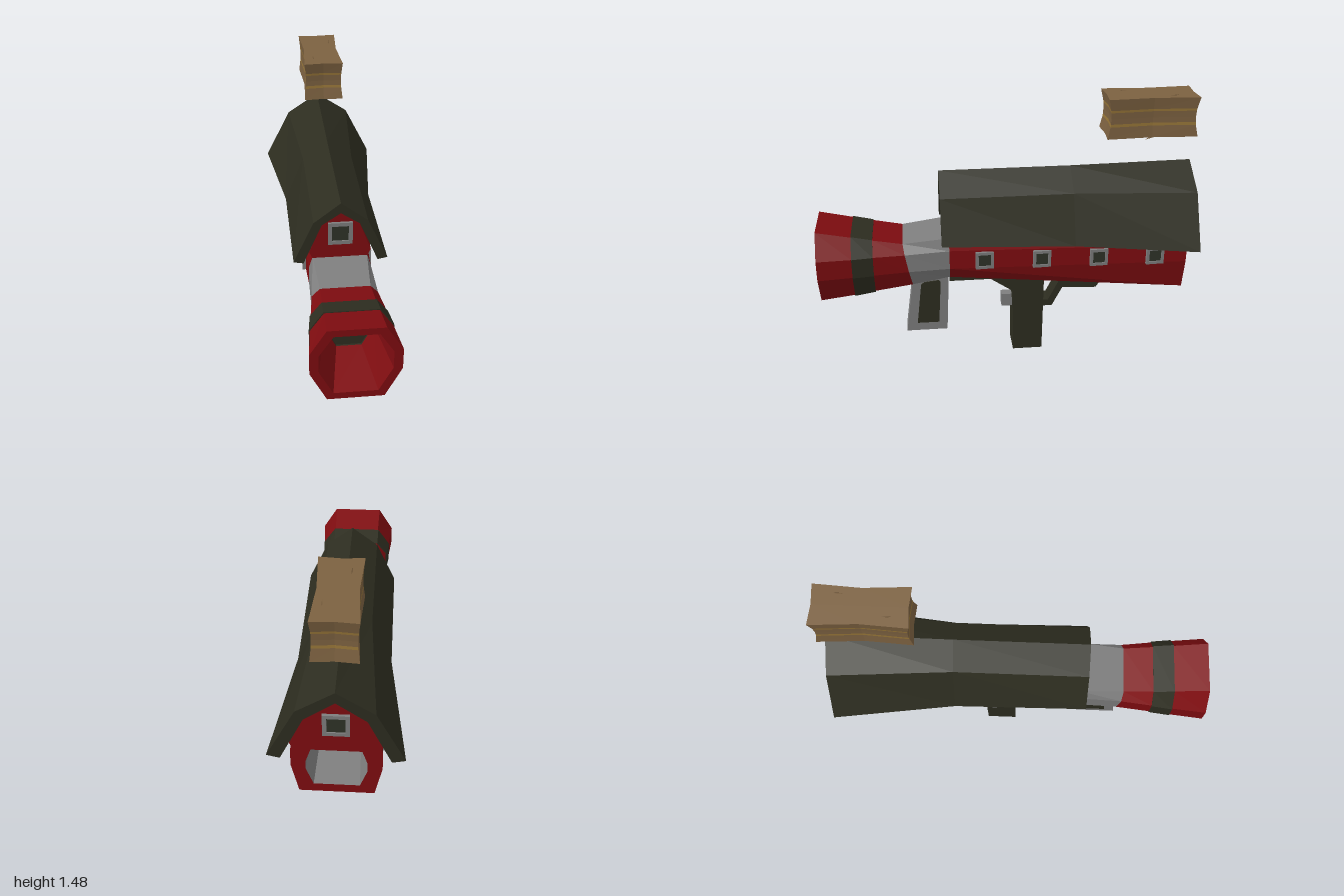
import * as THREE from 'three';

const mat = (name, color, side = THREE.FrontSide) => {
  const m = new THREE.MeshStandardMaterial({ color, side });
  m.name = name;
  return m;
};

// Mirrors a right-hand outline (bottom to top) into a closed counter-clockwise ring.
// z may be a number or a function of y, for slanted joints.
function ring(half, z) {
  const left = half.filter(p => p[0] !== 0).reverse().map(([x, y]) => [-x, y]);
  return [...half, ...left].map(([x, y]) => [x, y, typeof z === 'function' ? z(y) : z]);
}

// Skins a list of rings running from front to back, with optional end caps.
function loft(rings, capStart = false, capEnd = false) {
  const pos = [];
  const n = rings[0].length;
  for (let s = 0; s < rings.length - 1; s++) {
    const a = rings[s], b = rings[s + 1];
    for (let i = 0; i < n; i++) {
      const j = (i + 1) % n;
      pos.push(...a[i], ...b[i], ...a[j], ...a[j], ...b[i], ...b[j]);
    }
  }
  const cap = (r, flip) => {
    const tris = THREE.ShapeUtils.triangulateShape(r.map(p => new THREE.Vector2(p[0], p[1])), []);
    for (const [a, b, c] of tris) pos.push(...r[a], ...r[flip ? c : b], ...r[flip ? b : c]);
  };
  if (capStart) cap(rings[0], false);
  if (capEnd) cap(rings[rings.length - 1], true);
  const g = new THREE.BufferGeometry();
  g.setAttribute('position', new THREE.Float32BufferAttribute(pos, 3));
  g.computeVertexNormals();
  return g;
}

// Extrudes a side outline given as [z, y] points, centred at x.
function sideProfile(points, width, x = 0) {
  const shape = new THREE.Shape(points.map(p => new THREE.Vector2(...p)));
  const g = new THREE.ExtrudeGeometry(shape, { depth: width, bevelEnabled: false });
  return g.translate(0, 0, -width / 2).rotateY(-Math.PI / 2).translate(x, 0, 0);
}

export function createModel() {
  const red = mat('barn red', 0x7f0c10);
  const dark = mat('dark olive', 0x2d2d20);
  const grey = mat('grey', 0x7e7e7e);
  const hay = mat('hay', 0x7c6140);
  const straw = mat('straw band', 0x967538);
  const pane = mat('window pane', 0x2f3328);

  const model = new THREE.Group();
  const add = (name, geometry, material, parent = model) => {
    const m = new THREE.Mesh(geometry, material);
    m.name = name;
    parent.add(m);
    return m;
  };

  // Eight-sided barrel section
  const oct = (z, bw, yb, w, y1, y2, tw, yt) => ring([[bw, yb], [w, y1], [w, y2], [tw, yt]], z);
  const slant = y => 0.51 + (y - 0.485) * 0.18;

  const bore = oct(0.72, 0.062, 0.5, 0.12, 0.612, 0.628, 0.062, 0.735);
  const mouthIn = oct(1, 0.105, 0.455, 0.172, 0.585, 0.68, 0.105, 0.785);
  const mouth = oct(1, 0.135, 0.42, 0.215, 0.58, 0.69, 0.135, 0.82);
  const s1 = oct(0.82, 0.13, 0.44, 0.197, 0.58, 0.685, 0.13, 0.782);
  const s2 = oct(0.71, 0.128, 0.457, 0.184, 0.58, 0.685, 0.128, 0.758);
  const neck = oct(slant, 0.122, 0.482, 0.165, 0.58, 0.68, 0.125, 0.728);
  const collar = oct(0.31, 0.12, 0.515, 0.16, 0.585, 0.69, 0.14, 0.756);
  const rear = oct(-0.96, 0.18, 0.42, 0.215, 0.59, 0.69, 0.2, 0.74);
  const rearIn = oct(-0.96, 0.11, 0.47, 0.145, 0.57, 0.62, 0.115, 0.715);
  const rearDeep = oct(-0.55, 0.1, 0.48, 0.13, 0.57, 0.62, 0.1, 0.7);

  // Barrel from muzzle to rear opening
  add('boreEnd', loft([bore.map(([x, y, z]) => [x, y, z - 0.01]), bore], true), dark);
  add('muzzle', loft([bore, mouthIn, mouth, s1]), red);
  add('muzzleBand', loft([s1, ...[s1, s2].map(s =>
    s.map(([x, y, z]) => [x * 1.025, 0.62 + (y - 0.62) * 1.025, z])), s2]), dark);
  add('muzzleBase', loft([s2, neck]), red);
  add('collar', loft([neck, collar]), grey);
  add('barnBody', loft([collar, rear, rearIn]), red);
  add('rearBore', loft([rearIn, rearDeep], false, true), grey);

  // Gabled upper walls
  add('barnGable', loft([
    ring([[0.135, 0.74], [0.158, 0.79], [0.092, 0.965], [0, 1.025]], 0.32),
    ring([[0.2, 0.7], [0.222, 0.75], [0.142, 0.93], [0, 1.03]], -0.96),
  ], true, true), red);

  // Gambrel roof, flaring toward the back
  const roofRing = (z, outer, inner) => [...ring(outer, z), ...ring(inner, z).reverse()];
  const roofFront = z => [z, [[0.24, 0.755 - (0.35 - z) * 0.044], [0.137, 0.98], [0, 1.086]],
    [[0.19, 0.745 - (0.35 - z) * 0.044], [0.096, 0.965], [0, 1.03]]];
  add('roof', loft([
    roofRing(...roofFront(0.35)),
    roofRing(...roofFront(-0.35)),
    roofRing(-1, [[0.32, 0.695], [0.18, 0.975], [0, 1.095]], [[0.257, 0.68], [0.143, 0.93], [0, 1.035]]),
  ], true, true), dark);

  // Framed windows
  const addWindow = (name, size, x, y, z, yaw) => {
    const g = new THREE.Group();
    g.name = name;
    const h = size / 2, k = size * 0.34;
    const frame = new THREE.Shape([[-h, -h], [h, -h], [h, h], [-h, h]].map(p => new THREE.Vector2(...p)));
    frame.holes.push(new THREE.Path([[-k, -k], [-k, k], [k, k], [k, -k]].map(p => new THREE.Vector2(...p))));
    add('windowFrame', new THREE.ExtrudeGeometry(frame, { depth: 0.02, bevelEnabled: false })
      .translate(0, 0, -0.006), grey, g);
    add('windowPane', new THREE.BoxGeometry(2 * k, 2 * k, 0.008).translate(0, 0, 0.004), pane, g);
    g.position.set(x, y, z);
    g.rotation.y = yaw;
    model.add(g);
  };
  const taper = 0.055 / 1.27;
  for (const z of [0.125, -0.18, -0.485, -0.788]) {
    const x = 0.16 + (0.31 - z) * taper;
    addWindow('leftWindow', 0.096, x, 0.634, z, Math.PI / 2 + taper);
    addWindow('rightWindow', 0.096, -x, 0.634, z, -Math.PI / 2 - taper);
  }
  addWindow('frontGableWindow', 0.125, 0, 0.9, 0.32, 0);
  addWindow('rearGableWindow', 0.125, 0, 0.87, -0.96, Math.PI);

  // Front grip with dark inlays
  add('frontGrip', sideProfile([[0.555, 0.15], [0.33, 0.15], [0.312, 0.53], [0.505, 0.51]], 0.112), grey);
  for (const s of [-1, 1]) {
    add('gripInlay', sideProfile([[0.495, 0.2], [0.375, 0.2], [0.36, 0.45], [0.37, 0.464],
      [0.45, 0.455], [0.467, 0.44]], 0.008, s * 0.058), dark);
  }

  // Rear grip and under-rail, trigger and guard
  add('rearGrip', sideProfile([[0.31, 0.53], [0.31, 0.463], [0.085, 0.463], [-0.037, 0.38],
    [-0.04, 0], [-0.205, 0], [-0.212, 0.5]], 0.146), dark);
  add('trigger', new THREE.BoxGeometry(0.05, 0.075, 0.08).translate(0, 0.297, -0.02), grey);
  add('guard', sideProfile([[-0.2, 0.262], [-0.2, 0.3], [-0.24, 0.3], [-0.295, 0.41], [-0.295, 0.49],
    [-0.55, 0.47], [-0.555, 0.44], [-0.51, 0.365], [-0.32, 0.375], [-0.262, 0.262]], 0.1), dark);

  // Floating hay bale: pinched rows stacked from the top down
  const bale = new THREE.Group();
  bale.name = 'hayBale';
  model.add(bale);
  const baleRing = y => {
    const pinch = 0.016 * (1 - ((y - 1.365) / 0.105) ** 2);
    const w = 0.106 - pinch * 0.5, d = 0.237 - pinch;
    return [[w, -d], [w - 0.014, 0], [w, d], [0, d - 0.008], [-w, d], [-w + 0.014, 0], [-w, -d], [0, -d + 0.008]]
      .map(p => [...p, y]);
  };
  const rows = [1.47, 1.41, 1.398, 1.365, 1.337, 1.322, 1.26];
  for (let i = 0; i < rows.length - 1; i++) {
    const g = loft([baleRing(rows[i]), baleRing(rows[i + 1])], i === 0, i === rows.length - 2);
    const band = i === 1 || i === 4;
    add(band ? 'baleBand' : 'baleHay', g.rotateX(-Math.PI / 2).translate(0, 0, -0.757), band ? straw : hay, bale);
  }
  // Loose straws
  for (const [x, y, z, tilt] of [[0.08, 1.256, -0.75, 2], [-0.07, 1.256, -0.87, 2], [0.05, 1.258, -0.64, 4.2],
    [-0.05, 1.468, -0.63, 1.3], [0.06, 1.468, -0.86, -1.3]]) {
    add('straw', new THREE.ConeGeometry(0.01, 0.06, 4).rotateX(tilt).translate(x, y, z), hay, bale);
  }
  return model;
}
